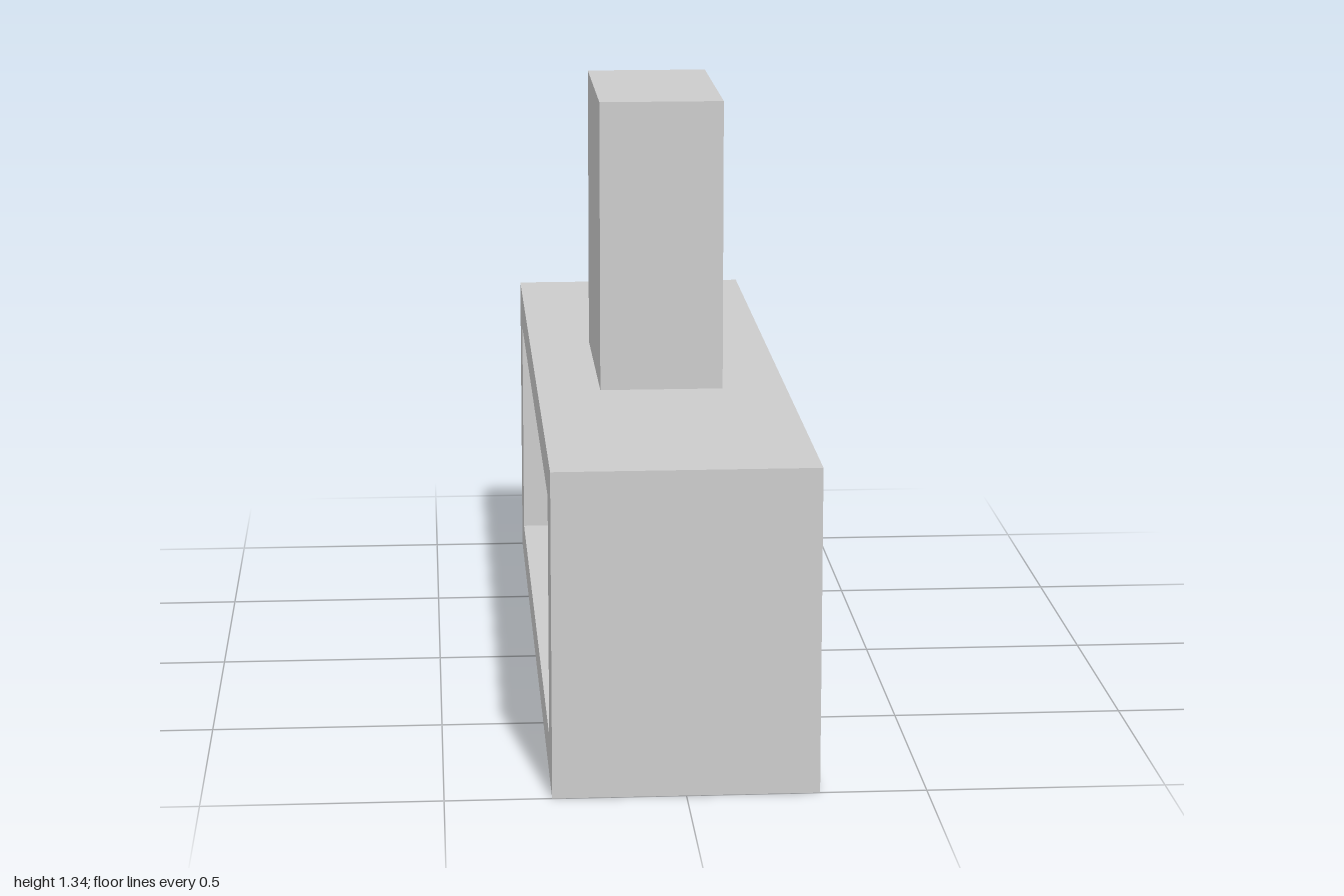
import * as THREE from 'three';

const W = 0.555, H = 0.693, L = 2;          // firebox body
const DEPTH = 0.106, RIM = 0.087, SIDE = 0.15; // recessed opening
const TOP = 1.338;

export function createModel() {
  const group = new THREE.Group();
  const grey = new THREE.MeshStandardMaterial({ color: 0xcccccc });
  grey.name = 'light grey';
  const blueGrey = new THREE.MeshStandardMaterial({ color: 0xacb0c3 });
  blueGrey.name = 'blue grey';

  const add = (name, geometry, material, x = 0, y = 0, z = 0) => {
    const mesh = new THREE.Mesh(geometry, material);
    mesh.name = name;
    mesh.position.set(x, y, z);
    group.add(mesh);
  };

  // Rectangle outline in the side plane
  const rect = (PathType, halfLength, bottom, top) => new PathType([
    new THREE.Vector2(-halfLength, bottom),
    new THREE.Vector2(halfLength, bottom),
    new THREE.Vector2(halfLength, top),
    new THREE.Vector2(-halfLength, top),
  ]);

  // Solid part of the body behind the opening
  add('body', new THREE.BoxGeometry(W - DEPTH, H, L), grey, DEPTH / 2, H / 2);

  // Frame around the opening, on the -x side
  const outline = rect(THREE.Shape, L / 2, 0, H);
  outline.holes.push(rect(THREE.Path, L / 2 - SIDE, RIM, H - RIM));
  const frame = new THREE.ExtrudeGeometry(outline, { depth: DEPTH, bevelEnabled: false });
  frame.rotateY(Math.PI / 2);
  add('openingFrame', frame, grey, -W / 2);

  // Thin panel at the back of the recess
  add('recessPanel', new THREE.BoxGeometry(0.004, H - 2 * RIM, L - 2 * SIDE), blueGrey,
    -W / 2 + DEPTH - 0.002, H / 2);

  // Upright block on top
  add('chimney', new THREE.BoxGeometry(0.273, TOP - H, 0.52), grey, -0.001, (TOP + H) / 2);

  return group;
}
